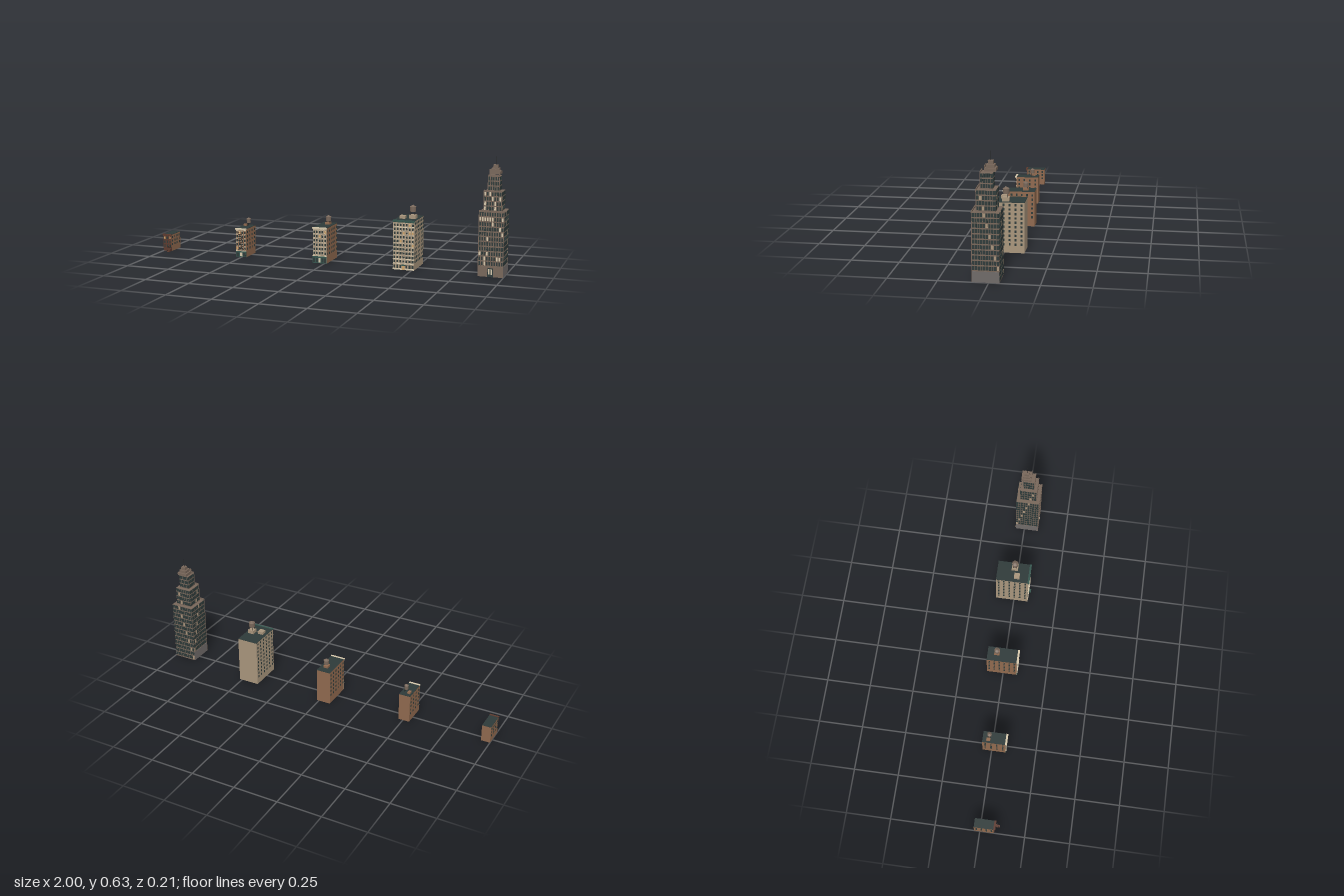
import * as THREE from 'three';
import { mergeGeometries } from 'three/addons/utils/BufferGeometryUtils.js';

const material = (name, color) => {
  const m = new THREE.MeshStandardMaterial({ color });
  m.name = name;
  return m;
};

export function createModel() {
  const M = {
    brownstone: material('brownstone', 0x5c3a2e),
    brick: material('brick', 0x8f694e),
    tan: material('tan stone', 0xa8957c),
    stone: material('tower stone', 0x78675a),
    grey: material('grey base', 0x6f6a68),
    dark: material('dark glass and roofing', 0x2e3a39),
    cream: material('cream trim', 0xd6c8ac),
    lit: material('lit window', 0xcfa468),
    green: material('storefront green', 0x35564e),
    iron: material('black iron', 0x242424),
  };

  let seed = 7;
  const rand = () => (seed = (seed * 16807) % 2147483647) / 2147483647;

  const root = new THREE.Group();
  root.name = 'cityBuildings';

  // A building collects geometry by part name and colour, then merges each part into one mesh
  function building(name, make) {
    const parts = new Map();
    const put = (part, mat, g) => {
      const key = part + '|' + mat.name;
      if (!parts.has(key)) parts.set(key, { part, mat, list: [] });
      parts.get(key).list.push(g);
    };
    // Box from its lower and upper limits
    const box = (part, mat, x0, x1, y0, y1, z0, z1) => put(part, mat,
      new THREE.BoxGeometry(x1 - x0, y1 - y0, z1 - z0)
        .translate((x0 + x1) / 2, (y0 + y1) / 2, (z0 + z1) / 2));
    // Thin plate on one side of a body b = [x0, x1, z0, z1]
    const plate = (part, mat, b, side, u, y, w, h, t = 0.0012) => {
      const [x0, x1, z0, z1] = b;
      if (side === 'front') box(part, mat, u - w / 2, u + w / 2, y - h / 2, y + h / 2, z1, z1 + t);
      if (side === 'back') box(part, mat, u - w / 2, u + w / 2, y - h / 2, y + h / 2, z0 - t, z0);
      if (side === 'right') box(part, mat, x1, x1 + t, y - h / 2, y + h / 2, u - w / 2, u + w / 2);
      if (side === 'left') box(part, mat, x0 - t, x0, y - h / 2, y + h / 2, u - w / 2, u + w / 2);
    };
    // Regular grid of cells on one side; cell(u, y, cellWidth, cellHeight, column, row)
    const grid = (b, side, y0, y1, cols, rows, cell) => {
      const along = side === 'front' || side === 'back' ? 0 : 2;
      const cw = (b[along + 1] - b[along]) / cols, ch = (y1 - y0) / rows;
      for (let r = 0; r < rows; r++)
        for (let c = 0; c < cols; c++)
          cell(b[along] + (c + 0.5) * cw, y0 + (r + 0.5) * ch, cw, ch, c, r);
    };
    make({ put, box, plate, grid });
    const group = new THREE.Group();
    group.name = name;
    for (const { part, mat, list } of parts.values()) {
      const mesh = new THREE.Mesh(mergeGeometries(list), mat);
      mesh.name = part;
      group.add(mesh);
    }
    root.add(group);
  }

  // Small punched windows on both party walls
  function sideWindows({ plate, grid }, b, y0, y1, cols, rows) {
    for (const side of ['left', 'right'])
      grid(b, side, y0, y1, cols, rows, (u, y) => plate('sideWindows', M.dark, b, side, u, y, 0.009, 0.0125));
  }

  // Front windows with cream sill and lintel
  function frontWindows({ plate, grid }, b, y0, y1, cols, rows, litShare) {
    grid(b, 'front', y0, y1, cols, rows, (u, y, cw, ch) => {
      plate('frontWindows', rand() < litShare ? M.lit : M.dark, b, 'front', u, y, cw * 0.52, ch * 0.6);
      plate('sills', M.cream, b, 'front', u, y - ch * 0.35, cw * 0.66, ch * 0.1, 0.003);
      plate('lintels', M.cream, b, 'front', u, y + ch * 0.35, cw * 0.66, ch * 0.1, 0.002);
    });
  }

  // Water tank on four legs with a conical cap
  function waterTank({ put, box }, x, z, base, y0, y1, r) {
    const h = y1 - y0;
    put('waterTank', M.stone, new THREE.CylinderGeometry(r, r, h * 0.72, 12).translate(x, y0 + h * 0.36, z));
    put('waterTank', M.stone, new THREE.ConeGeometry(r * 1.1, h * 0.28, 12).translate(x, y0 + h * 0.86, z));
    for (const sx of [-1, 1])
      for (const sz of [-1, 1]) {
        const lx = x + sx * r * 0.62, lz = z + sz * r * 0.62;
        box('tankLegs', M.iron, lx - 0.0007, lx + 0.0007, base, y0, lz - 0.0007, lz + 0.0007);
      }
  }

  // Body with flat roof, and a projecting front cornice on brackets
  function shell({ box }, b, top, wall, front, cornice) {
    const [x0, x1, z0, z1] = b;
    box('walls', wall, x0, x1, 0, top - 0.002, z0, z1 - 0.003);
    box('frontWall', front, x0, x1, 0, top, z1 - 0.003, z1);
    box('roof', M.dark, x0, x1, top - 0.002, top, z0, z1 - 0.003);
    box('cornice', cornice, x0 - 0.001, x1 + 0.001, top - 0.004, top + 0.002, z1 - 0.004, z1 + 0.007);
    box('cornice', cornice, x0, x1, top - 0.01, top - 0.004, z1, z1 + 0.003);
    for (let x = x0 + 0.004; x < x1; x += 0.009)
      box('corniceBrackets', cornice, x, x + 0.0025, top - 0.009, top - 0.004, z1, z1 + 0.006);
  }

  // Glazed shopfront with a fascia and a central door
  function storefront({ plate }, b, h, cols) {
    const cx = (b[0] + b[1]) / 2, w = b[1] - b[0], cw = w / cols;
    plate('storefront', M.green, b, 'front', cx, h / 2, w, h, 0.002);
    plate('fascia', M.cream, b, 'front', cx, h + 0.001, w, 0.003, 0.004);
    for (let i = 0; i < cols; i++)
      plate('shopGlass', i === (cols >> 1) ? M.cream : M.dark, b, 'front',
        b[0] + (i + 0.5) * cw, h * 0.43, cw * 0.72, h * 0.62, 0.003);
  }

  // Row house with a raised stoop
  building('rowHouse', (k) => {
    const b = [-1, -0.949, -0.032, 0.08];
    shell(k, b, 0.098, M.brick, M.brownstone, M.brownstone);
    sideWindows(k, b, 0.03, 0.092, 4, 3);
    k.grid(b, 'front', 0.018, 0.09, 3, 3, (u, y, cw, ch, c, r) => {
      const door = c === 2 && r === 0;
      k.plate(door ? 'frontDoor' : 'frontWindows', r === 2 && c !== 1 ? M.lit : M.dark, b, 'front',
        u, y, 0.008, door ? 0.02 : 0.014);
      k.plate('lintels', M.brownstone, b, 'front', u, y + 0.0095, 0.011, 0.002, 0.003);
    });
    for (let i = 0; i < 5; i++)
      k.box('stoop', M.brownstone, -0.965, -0.951, 0, 0.0036 * (5 - i), 0.08 + 0.0053 * i, 0.0853 + 0.0053 * i);
    for (const x of [-0.966, -0.951]) {
      k.box('stoopRails', M.iron, x, x + 0.001, 0.0265, 0.028, 0.08, 0.104);
      for (const z of [0.083, 0.103]) k.box('stoopRails', M.iron, x, x + 0.001, 0, 0.028, z, z + 0.001);
    }
  });

  // Walk-up with a fire escape
  building('walkUp', (k) => {
    const b = [-0.537, -0.473, -0.052, 0.08];
    shell(k, b, 0.163, M.brick, M.brick, M.cream);
    storefront(k, b, 0.034, 3);
    frontWindows(k, b, 0.038, 0.152, 4, 5, 0.15);
    sideWindows(k, b, 0.035, 0.155, 4, 5);
    for (let i = 0; i < 5; i++) {
      const y = 0.04 + i * 0.0228, x0 = -0.521, x1 = -0.489;
      k.box('fireEscape', M.iron, x0, x1, y, y + 0.001, 0.08, 0.087);
      k.box('fireEscape', M.iron, x0, x1, y + 0.008, y + 0.009, 0.0862, 0.087);
      for (let j = 0; j < 6; j++) {
        const x = x0 + j * (x1 - x0 - 0.0006) / 5;
        k.box('fireEscape', M.iron, x, x + 0.0006, y, y + 0.009, 0.0864, 0.087);
      }
      if (i < 4) {
        const s = i % 2 ? 1 : -1;
        k.put('fireEscape', M.iron, new THREE.BoxGeometry(0.0012, 0.03, 0.003)
          .rotateZ(s * 0.72).translate(-0.505, y + 0.0114, 0.0845));
      }
    }
    k.box('bulkhead', M.brick, -0.527, -0.51, 0.163, 0.173, -0.03, -0.008);
    waterTank(k, -0.498, -0.015, 0.163, 0.182, 0.213, 0.0115);
  });

  // Mid-size apartment block
  building('apartmentBlock', (k) => {
    const b = [-0.069, 0.013, -0.094, 0.08];
    shell(k, b, 0.2, M.brick, M.tan, M.cream);
    storefront(k, b, 0.04, 5);
    frontWindows(k, b, 0.045, 0.188, 5, 6, 0.12);
    sideWindows(k, b, 0.04, 0.192, 6, 6);
    k.box('bulkhead', M.brick, -0.035, -0.008, 0.2, 0.212, -0.055, -0.025);
    waterTank(k, -0.019, -0.04, 0.212, 0.219, 0.252, 0.0145);
  });

  // Large apartment house with entrance canopy
  building('apartmentHouse', (k) => {
    const b = [0.395, 0.514, -0.106, 0.08];
    shell(k, b, 0.271, M.tan, M.tan, M.green);
    frontWindows(k, b, 0.036, 0.258, 7, 10, 0.08);
    sideWindows(k, b, 0.034, 0.268, 6, 10);
    for (const y of [0.034, 0.06, 0.235]) k.plate('beltCourses', M.cream, b, 'front', 0.4545, y, 0.119, 0.003, 0.004);
    k.plate('groundFloor', M.cream, b, 'front', 0.4545, 0.004, 0.119, 0.008, 0.002);
    for (let i = 0; i < 7; i++)
      k.plate('groundWindows', M.dark, b, 'front', 0.4035 + i * 0.017, 0.018, 0.0095, 0.018);
    k.plate('entrance', M.lit, b, 'front', 0.4545, 0.012, 0.012, 0.024, 0.003);
    k.box('entranceCanopy', M.green, 0.444, 0.465, 0.026, 0.029, 0.08, 0.095);
    k.box('bulkheads', M.tan, 0.413, 0.445, 0.271, 0.287, -0.005, 0.027);
    k.box('bulkheads', M.tan, 0.464, 0.5, 0.271, 0.291, -0.024, 0.012);
    waterTank(k, 0.481, -0.006, 0.291, 0.309, 0.346, 0.0165);
  });

  // Stepped tower
  building('steppedTower', (k) => {
    const cx = 0.93, cz = 0.0145;
    const tiers = [
      { half: 0.066, y0: 0, y1: 0.347, from: 0.055, cols: 10, rows: 11 },
      { half: 0.047, y0: 0.347, y1: 0.452, from: 0.347, cols: 7, rows: 4 },
      { half: 0.03, y0: 0.452, y1: 0.531, from: 0.452, cols: 5, rows: 3 },
    ];
    tiers.forEach((t, tier) => {
      const b = [cx - t.half, cx + t.half, cz - t.half, cz + t.half];
      k.box('tierWalls', M.stone, b[0], b[1], t.y0, t.y1, b[2], b[3]);
      for (const side of ['front', 'right', 'back', 'left']) {
        const low = tier === 0 && side === 'back';
        const rows = t.rows + (low ? 2 : 0);
        k.grid(b, side, low ? 0.002 : t.from, t.y1 - 0.002, t.cols, rows, (u, y, cw, ch, c, r) => {
          const sideLit = (c * 3 + r * 5 + tier) % 13 === 0 && r % 2 === 0;
          const mat = side === 'front' ? (rand() < 0.16 ? M.cream : M.dark) : sideLit ? M.tan : M.dark;
          k.plate('towerWindows', mat, b, side, u, y + ch * 0.1, cw * (side === 'front' ? 0.62 : 0.8), ch * 0.74);
        });
      }
      // Front piers rise above each setback
      for (let i = 0; i <= t.cols; i++) {
        const x = b[0] + (i / t.cols) * t.half * 2;
        k.box('frontPiers', M.stone, x - 0.0017, x + 0.0017, t.from, t.y1 + 0.003, b[3], b[3] + 0.003);
      }
      k.box('frontParapet', M.stone, b[0], b[1], t.y1 - 0.002, t.y1 + 0.008, b[3] - 0.002, b[3] + 0.002);
    });
    // Street base: stone front, plain grey sides
    const b = [cx - 0.066, cx + 0.066, cz - 0.066, cz + 0.066];
    for (const side of ['left', 'right']) k.plate('baseSides', M.grey, b, side, cz, 0.0275, 0.132, 0.055, 0.0015);
    k.plate('baseFront', M.stone, b, 'front', cx, 0.0275, 0.136, 0.055, 0.003);
    k.plate('entranceSurround', M.dark, b, 'front', cx, 0.024, 0.03, 0.048, 0.004);
    for (const s of [-1, 1]) k.plate('entranceDoors', M.cream, b, 'front', cx + s * 0.0065, 0.028, 0.007, 0.03, 0.005);
    // Stepped crown with mast
    [[0.0285, 0.538, 0.554], [0.0205, 0.554, 0.569], [0.0125, 0.569, 0.587]].forEach(([h, y0, y1]) =>
      k.box('crown', M.stone, cx - h, cx + h, y0, y1, -0.0025 - h, -0.0025 + h));
    k.box('crownParapet', M.stone, cx - 0.0285, cx + 0.0285, 0.554, 0.566, 0.023, 0.026);
    k.put('mast', M.iron, new THREE.CylinderGeometry(0.0005, 0.0012, 0.046, 6).translate(cx, 0.61, -0.0025));
  });

  return root;
}
